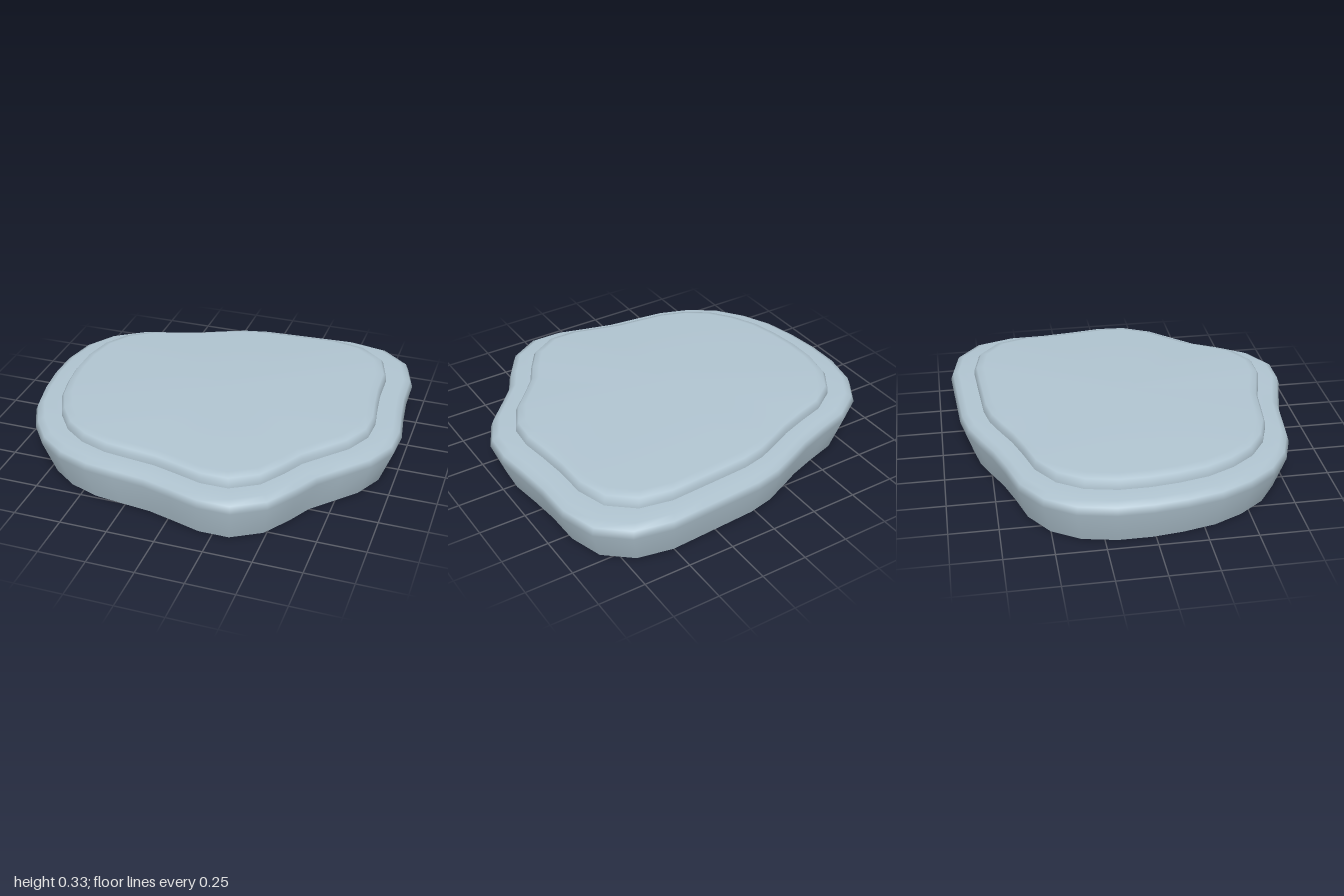
import * as THREE from 'three';

// Wavy outline of the slab seen from above, as [x, z], running from +x towards +z
const outline = [
  [1.0, -0.02], [0.99, 0.14], [0.91, 0.3], [0.79, 0.43], [0.69, 0.54], [0.62, 0.67],
  [0.52, 0.82], [0.36, 0.915], [0.19, 0.915], [0.03, 0.87], [-0.12, 0.83], [-0.29, 0.81],
  [-0.45, 0.79], [-0.62, 0.73], [-0.76, 0.63], [-0.865, 0.49], [-0.94, 0.33], [-0.98, 0.15],
  [-1.0, -0.02], [-1.0, -0.2], [-0.96, -0.39], [-0.865, -0.54], [-0.71, -0.645], [-0.54, -0.695],
  [-0.38, -0.75], [-0.25, -0.81], [-0.12, -0.865], [0.02, -0.895], [0.19, -0.905], [0.36, -0.915],
  [0.54, -0.925], [0.74, -0.885], [0.89, -0.76], [0.95, -0.57], [0.955, -0.37], [0.975, -0.19],
];

// Stack scaled copies of the outline; rings are [scale, y] from bottom to top.
// apexY closes the last ring with a shallow fan, facing up or (down = true) facing down.
function loft(rings, apexY = null, down = false) {
  const n = outline.length;
  const positions = [];
  const index = [];
  for (const [s, y] of rings) for (const [x, z] of outline) positions.push(x * s, y, z * s);
  for (let r = 0; r < rings.length - 1; r++) {
    for (let j = 0; j < n; j++) {
      const k = (j + 1) % n;
      const a = r * n + j, b = r * n + k;
      index.push(a, a + n, b, b, a + n, b + n);
    }
  }
  if (apexY !== null) {
    const base = (rings.length - 1) * n;
    const apex = rings.length * n;
    positions.push(0, apexY, 0);
    for (let j = 0; j < n; j++) {
      const p = base + j, q = base + (j + 1) % n;
      index.push(apex, down ? p : q, down ? q : p);
    }
  }
  const geometry = new THREE.BufferGeometry();
  geometry.setAttribute('position', new THREE.Float32BufferAttribute(positions, 3));
  geometry.setIndex(index);
  geometry.computeVertexNormals();
  return geometry;
}

export function createModel() {
  const group = new THREE.Group();
  group.name = 'steppingStone';
  const stone = new THREE.MeshStandardMaterial({ color: 0xb0c4d0 });
  stone.name = 'pale blue grey';

  const add = (name, geometry) => {
    const mesh = new THREE.Mesh(geometry, stone);
    mesh.name = name;
    group.add(mesh);
  };

  // Flared lower slab with a rounded rim and flat ledge
  add('lowerSlab', loft([[0.93, 0], [1, 0.185], [0.985, 0.222], [0.95, 0.24], [0.84, 0.24]]));
  // Flat underside
  add('underside', loft([[0.93, 0]], 0, true));
  // Raised upper slab with a softened edge and slightly domed top
  add('upperSlab', loft([[0.857, 0.24], [0.855, 0.268], [0.84, 0.288], [0.8, 0.3]], 0.326));
  return group;
}
